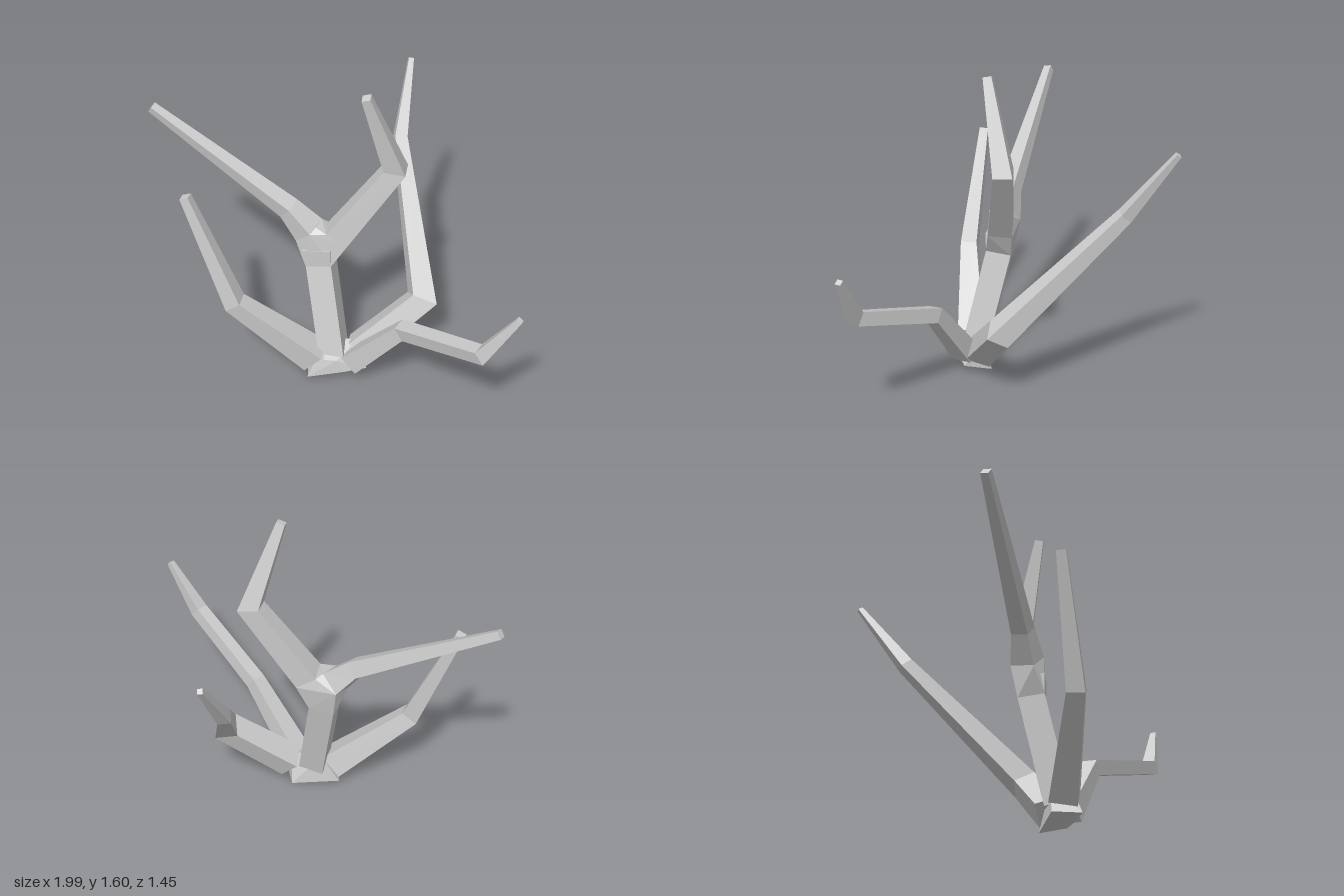
import * as THREE from 'three';
import { ConvexGeometry } from 'three/addons/geometries/ConvexGeometry.js';

const V = (p) => new THREE.Vector3(...p);
const material = new THREE.MeshStandardMaterial({ color: 0xcccccc, flatShading: true });

// Four-cornered rings along a path, mitred at the bends.
// path: [x, y, z, half diagonal]; ref: direction of the first corner.
function makeRings(path, ref) {
  const pts = path.map(([x, y, z]) => V([x, y, z]));
  const dirs = pts.slice(1).map((p, i) => p.clone().sub(pts[i]).normalize());
  const first = V(ref);
  first.addScaledVector(dirs[0], -first.dot(dirs[0])).normalize();
  const side = dirs[0].clone().cross(first);
  let corners = [first, side, first.clone().negate(), side.clone().negate()];
  return pts.map((p, k) => {
    const d = dirs[Math.max(k - 1, 0)];
    const next = dirs[Math.min(k, dirs.length - 1)];
    const n = d.clone().add(next).normalize();
    const ring = corners.map((c) =>
      c.clone().addScaledVector(d, -c.dot(n) / d.dot(n)).multiplyScalar(path[k][3]).add(p));
    const turn = new THREE.Quaternion().setFromUnitVectors(d, next);
    corners = corners.map((c) => c.clone().applyQuaternion(turn));
    return ring;
  });
}

// Skin the rings and close both ends
function limbGeometry(rings) {
  const pos = [];
  const quad = (a, b, c, d) => [a, b, c, a, c, d].forEach((p) => pos.push(p.x, p.y, p.z));
  for (let k = 0; k < rings.length - 1; k++) {
    for (let i = 0; i < 4; i++) {
      const j = (i + 1) % 4;
      quad(rings[k][i], rings[k][j], rings[k + 1][j], rings[k + 1][i]);
    }
  }
  quad(...rings[rings.length - 1]);
  quad(...[...rings[0]].reverse());
  const g = new THREE.BufferGeometry();
  g.setAttribute('position', new THREE.Float32BufferAttribute(pos, 3));
  g.computeVertexNormals();
  return g;
}

const limbs = {
  trunk: { ref: [1, 0, 0.2], path: [[-0.07, 0.1, 0.25, 0.09], [-0.2, 0.6, 0.2, 0.09], [-0.21, 0.7, 0.2, 0.1]] },
  frontBranch: { ref: [1, 0, 0], path: [[-0.13, 0.1, 0.33, 0.095], [-0.4, 0.455, 0.605, 0.06], [-0.61, 1.04, 0.69, 0.032]] },
  leftBranch: { ref: [0, 1, -0.55], path: [[0.04, 0.1, 0.22, 0.075], [0.32, 0.43, 0.16, 0.052], [0.83, 0.59, 0.165, 0.047], [0.98, 0.845, 0.095, 0.02]] },
  backBranch: { ref: [1, 0, 0], path: [[0.0, 0.11, 0.15, 0.09], [0.175, 0.37, -0.14, 0.08], [-0.325, 0.94, -0.5, 0.045], [-0.45, 1.27, -0.71, 0.018]] },
  upperRightBranch: { ref: [0, 1, -0.55], path: [[-0.26, 0.77, 0.22, 0.085], [-0.35, 0.88, 0.265, 0.06], [-0.98, 1.32, 0.56, 0.028]] },
  upperLeftBranch: { ref: [1, 0, 0], path: [[-0.14, 0.76, 0.14, 0.085], [0.06, 1.15, -0.06, 0.067], [0.01, 1.59, 0.085, 0.03]] },
};

export function createModel() {
  const group = new THREE.Group();
  const add = (name, geometry) => {
    const mesh = new THREE.Mesh(geometry, material);
    mesh.name = name;
    group.add(mesh);
  };

  const rings = {};
  for (const [name, { path, ref }] of Object.entries(limbs)) {
    rings[name] = makeRings(path, ref);
    add(name, limbGeometry(rings[name]));
  }

  // Faceted foot where the lower limbs meet
  const foot = [[-0.2, 0.02, 0.31], [-0.1, 0.02, 0.41], [-0.05, 0, 0.12], [0.09, 0.05, 0.18], [0.03, 0.05, 0.28],
    [-0.05, 0.12, 0.34], [0.0, 0.12, 0.3], [-0.13, 0.17, 0.25], [0.0, 0.17, 0.15]].map(V);
  add('foot', new ConvexGeometry(foot));

  // Faceted fork at the top of the trunk
  add('fork', new ConvexGeometry([
    ...rings.trunk[1], ...rings.upperRightBranch[0], ...rings.upperLeftBranch[0], V([-0.2, 0.82, 0.23])]));

  return group;
}
